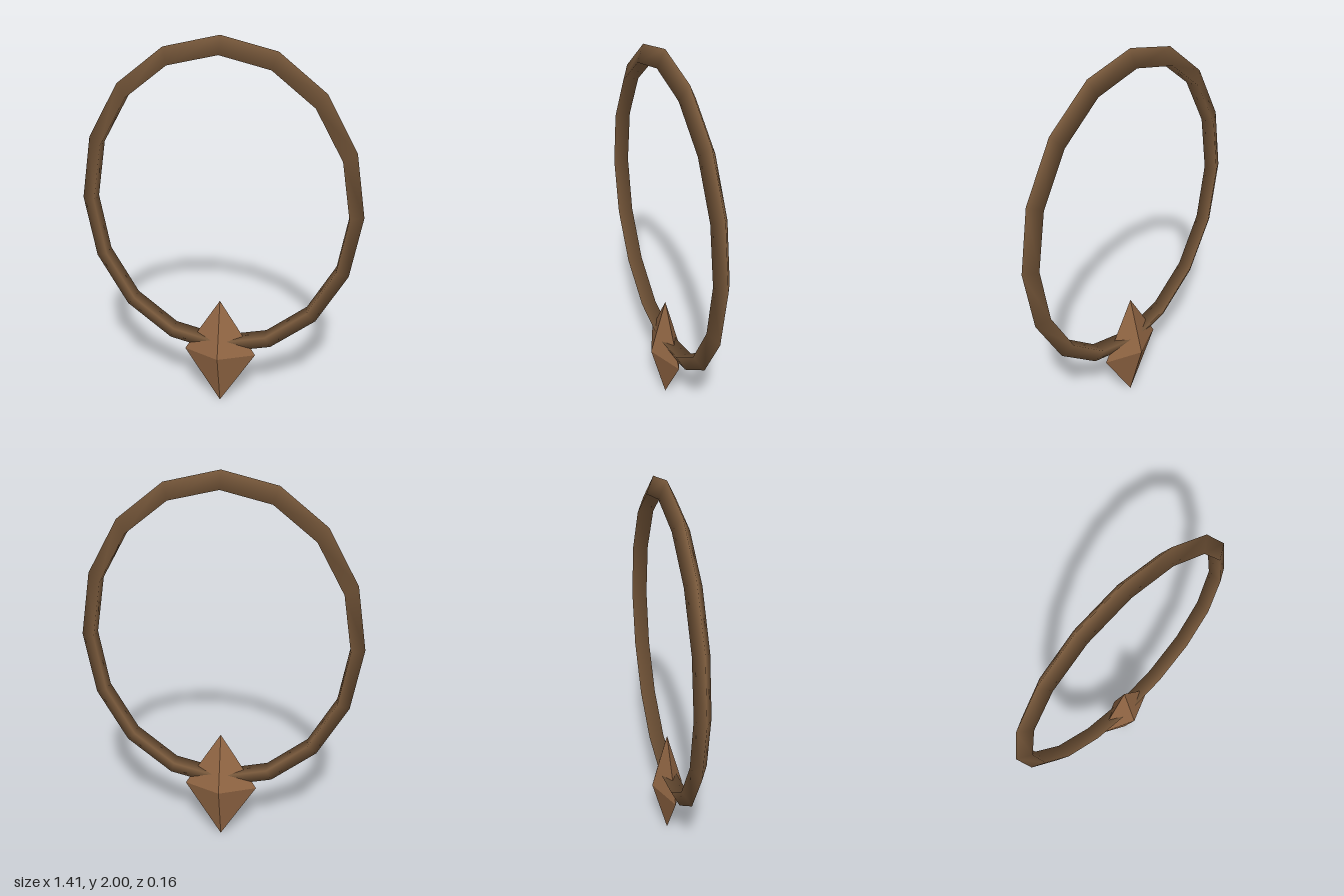
import * as THREE from 'three';

export function createModel() {
  const group = new THREE.Group();
  group.name = 'pendant';

  const cordBrown = new THREE.MeshStandardMaterial({ color: 0x7a5a3c });
  cordBrown.name = 'cord brown';
  const gemBrown = new THREE.MeshStandardMaterial({ color: 0x946845, flatShading: true });
  gemBrown.name = 'gem brown';

  // Oval cord: a smooth three-sided tube in sixteen segments, stretched upward
  const cord = new THREE.Mesh(new THREE.TorusGeometry(0.658, 0.046, 3, 16), cordBrown);
  cord.name = 'cord';
  cord.scale.y = 1.2;
  cord.position.y = 1.155;
  group.add(cord);

  // Flattened eight-faced gem hanging at the bottom of the cord
  const gemGeometry = new THREE.OctahedronGeometry(1).scale(0.19, 0.3125, 0.082);
  gemGeometry.computeVertexNormals();
  const gem = new THREE.Mesh(gemGeometry, gemBrown);
  gem.name = 'gem';
  gem.position.y = 0.3125;
  group.add(gem);

  return group;
}
